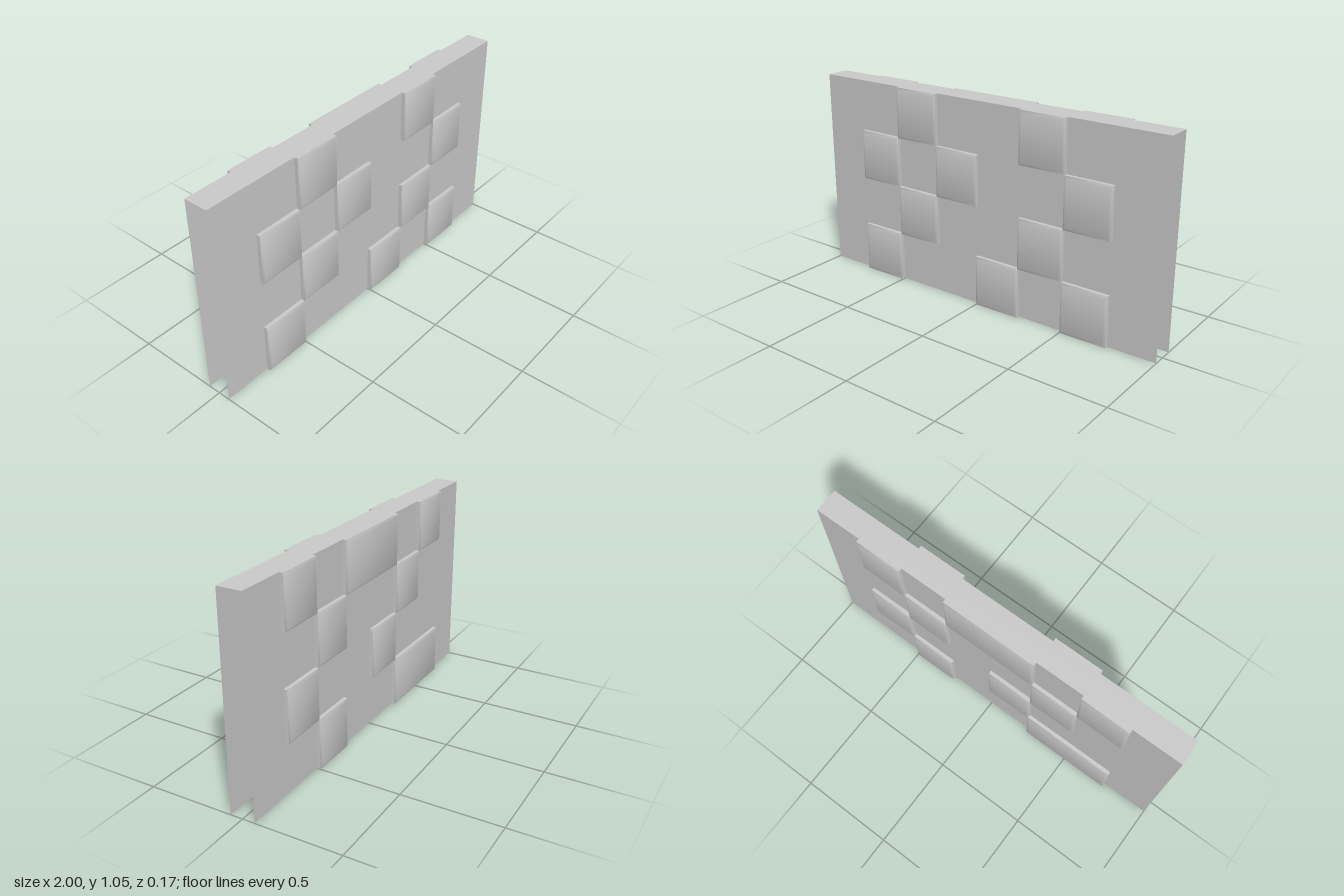
import * as THREE from 'three';
import { toCreasedNormals } from 'three/addons/utils/BufferGeometryUtils.js';

const HEIGHT = 1.055, HALF = 0.0625;
const COL = 0.25, ROW = HEIGHT / 4;
const SIDE = 0.0185, BEVEL = 0.006, INSET = 0.014;

const material = new THREE.MeshStandardMaterial({ color: 0xcccccc });
const sheetMaterial = new THREE.MeshStandardMaterial({ color: 0xcccccc, side: THREE.DoubleSide });

// Open-backed tile: straight sides, shallow bevel, softly shaded face
function tileGeometry(w, h) {
  const pos = [], idx = [];
  for (const [inset, z] of [[0, 0], [0, SIDE], [INSET, SIDE + BEVEL]]) {
    const x = w / 2 - inset, y = h / 2 - inset;
    pos.push(-x, -y, z, x, -y, z, x, y, z, -x, y, z);
  }
  for (let ring = 0; ring < 2; ring++) {
    for (let i = 0; i < 4; i++) {
      const a = ring * 4 + i, b = ring * 4 + (i + 1) % 4;
      idx.push(a, b, b + 4, a, b + 4, a + 4);
    }
  }
  idx.push(8, 9, 10, 8, 10, 11);
  const geo = new THREE.BufferGeometry();
  geo.setAttribute('position', new THREE.Float32BufferAttribute(pos, 3));
  geo.setIndex(idx);
  return toCreasedNormals(geo, 0.65);
}

// Tiles per row, top row first: [left edge x, width in columns]
const frontRows = [
  [[-0.5, 1], [0.25, 1]],
  [[-0.75, 1], [-0.25, 1], [0.5, 1]],
  [[-0.5, 1], [0.25, 1]],
  [[-0.75, 1], [0, 1], [0.5, 1]],
];
const backRows = [
  [[-0.75, 1], [-0.25, 2], [0.5, 1]],
  [[-0.5, 1], [0.25, 1]],
  [[-0.25, 1], [0.5, 1]],
  [[-0.75, 2], [0.25, 1]],
];

function tiles(name, rows, side) {
  const group = new THREE.Group();
  group.name = name;
  rows.forEach((row, r) => row.forEach(([x, span]) => {
    const w = span * COL;
    const tile = new THREE.Mesh(tileGeometry(w, ROW), material);
    tile.name = 'raisedTile';
    tile.position.set(x + w / 2, HEIGHT - (r + 0.5) * ROW, side * HALF);
    if (side < 0) tile.rotation.y = Math.PI;
    group.add(tile);
  }));
  return group;
}

export function createModel() {
  const model = new THREE.Group();
  model.name = 'tiledWall';

  // Two wall sheets, open at the ends and below
  for (const side of [1, -1]) {
    const sheet = new THREE.Mesh(new THREE.PlaneGeometry(2, HEIGHT), sheetMaterial);
    sheet.name = side > 0 ? 'frontSheet' : 'backSheet';
    sheet.position.set(0, HEIGHT / 2, side * HALF);
    if (side < 0) sheet.rotation.y = Math.PI;
    model.add(sheet);
  }

  // Strip closing the top
  const top = new THREE.Mesh(new THREE.PlaneGeometry(2, HALF * 2), sheetMaterial);
  top.name = 'topStrip';
  top.rotation.x = -Math.PI / 2;
  top.position.y = HEIGHT;
  model.add(top);

  model.add(tiles('frontTiles', frontRows, 1), tiles('backTiles', backRows, -1));
  return model;
}
